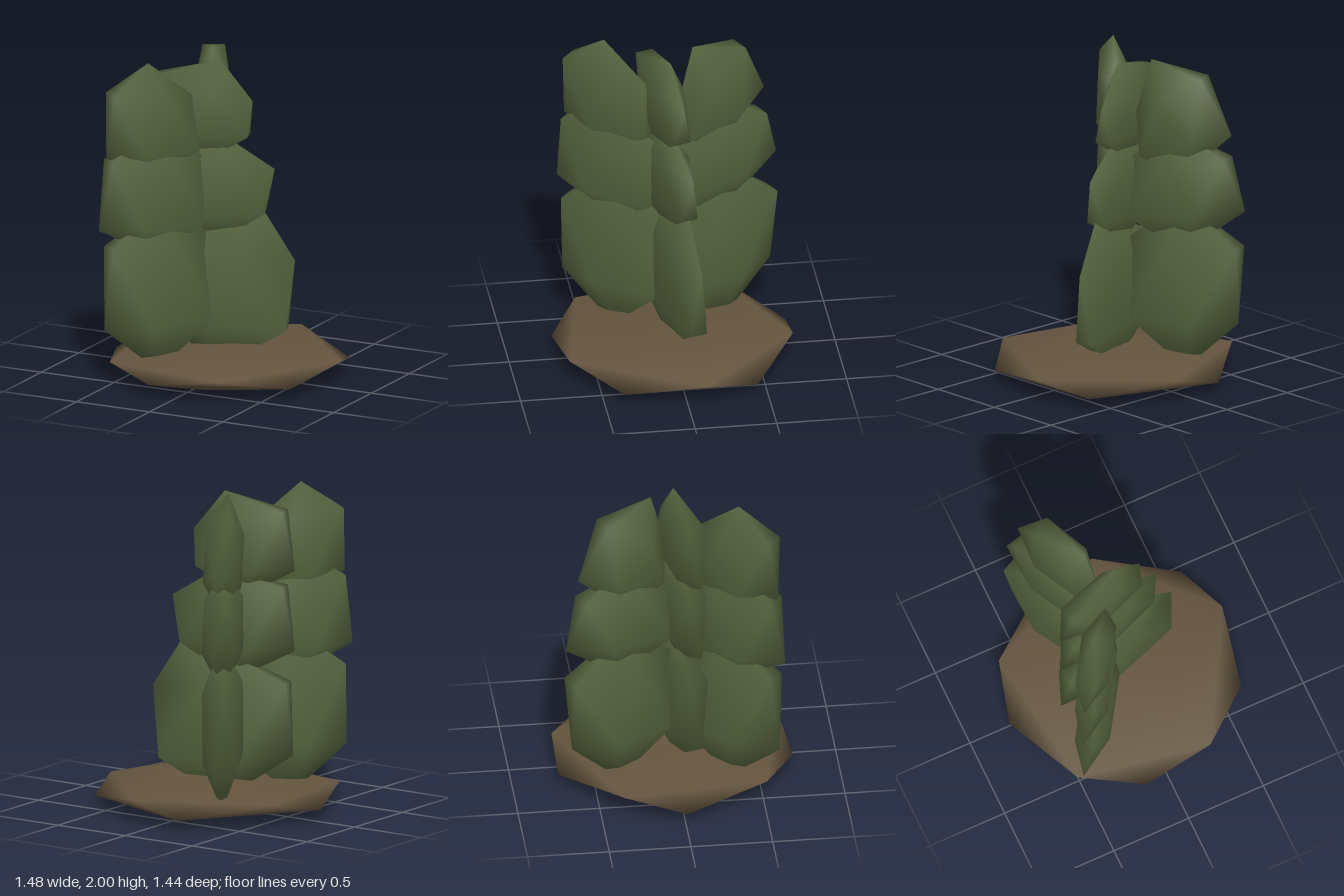
import * as THREE from 'three';

// Smooth twenty-sided solid: top, five upper and five lower corners (anticlockwise from above), bottom
function stone(top, upper, lower, bottom) {
  const idx = [];
  for (let i = 0; i < 5; i++) {
    const j = (i + 1) % 5;
    const [ui, uj, li, lj] = [1 + i, 1 + j, 6 + i, 6 + j];
    idx.push(0, ui, uj, ui, li, uj, uj, li, lj, 11, lj, li);
  }
  const geo = new THREE.BufferGeometry().setFromPoints([top, ...upper, ...lower, bottom]);
  geo.setIndex(idx);
  geo.computeVertexNormals();
  return geo;
}

// Flattened cactus pad. Spec: top u, y; upper ends u, y; lower ends u, y; bottom y
function padGeometry(spec, toPoint, normal, half, startAngle) {
  const [ut, yt, uA, yA, uB, yB, uC, yC, uD, yD, yBottom] = spec;
  // Pentagon stretched between two end points
  const ring = (u0, y0, u1, y1, start) => {
    const angles = [0, 1, 2, 3, 4].map(i => start + i * Math.PI * 0.4);
    const cosines = angles.map(Math.cos);
    const min = Math.min(...cosines), max = Math.max(...cosines);
    return angles.map((a, i) => {
      const k = (cosines[i] - min) / (max - min);
      return toPoint(u0 + k * (u1 - u0), y0 + k * (y1 - y0)).addScaledVector(normal, half * Math.sin(a));
    });
  };
  return stone(
    toPoint(ut, yt),
    ring(uA, yA, uB, yB, startAngle),
    ring(uC, yC, uD, yD, startAngle + Math.PI / 5),
    toPoint((uA + uB + uC + uD) / 4, yBottom)
  );
}

export function createModel() {
  const group = new THREE.Group();
  const V = (x, y, z) => new THREE.Vector3(x, y, z);
  const green = new THREE.MeshStandardMaterial({ color: 0x55633e });
  green.name = 'cactusGreen';
  const brown = new THREE.MeshStandardMaterial({ color: 0x64543e });
  brown.name = 'earthBrown';
  const add = (name, geo, mat, parent) => {
    const mesh = new THREE.Mesh(geo, mat);
    mesh.name = name;
    parent.add(mesh);
  };

  // Flat, uneven mound of soil
  add('soilMound', stone(
    V(0.35, 0.22, 0.2),
    [V(0.15, 0.15, -0.72), V(-0.64, 0.15, -0.36), V(-0.52, 0.13, 0.52), V(0.3, 0.14, 0.67), V(0.74, 0.14, -0.11)],
    [V(-0.19, 0.065, -0.72), V(-0.74, 0.07, 0.01), V(-0.15, 0.08, 0.72), V(0.64, 0.07, 0.38), V(0.62, 0.07, -0.44)],
    V(0.08, 0, 0.4)
  ), brown, group);

  // Three upright fins, each a stack of three pads
  const addFin = (name, half, startAngle, toPoint, normal, pads) => {
    const fin = new THREE.Group();
    fin.name = name;
    group.add(fin);
    normal.normalize();
    ['lowerPad', 'middlePad', 'upperPad'].forEach((level, i) =>
      add(level, padGeometry(pads[i], toPoint, normal, half, startAngle), green, fin));
  };
  addFin('frontFin', 0.105, Math.PI, (z, y) => V(-0.095 - 0.78 * (z - 0.06), y, z), V(1, 0, 0.78), [
    [0.3, 1.12, 0.06, 0.9, 0.58, 0.86, 0.04, 0.36, 0.6, 0.35, 0.06],
    [0.43, 1.53, 0.07, 1.38, 0.58, 1.41, 0.1, 0.95, 0.63, 0.98, 0.8],
    [0.37, 2, 0.14, 1.77, 0.57, 1.83, 0.12, 1.42, 0.59, 1.43, 1.3],
  ]);
  addFin('middleFin', 0.095, 0, (x, y) => V(x, y, 0.13 - 0.3 * (x + 0.45)), V(-0.3, 0, -1), [
    [0.2, 1.08, -0.42, 0.8, 0.41, 0.73, -0.45, 0.35, 0.36, 0.29, 0.05],
    [0, 1.49, -0.4, 1.4, 0.29, 1.3, -0.46, 1, 0.23, 1.02, 0.8],
    [-0.03, 1.97, -0.4, 1.87, 0.16, 1.72, -0.46, 1.5, 0.135, 1.5, 1.32],
  ]);
  addFin('backFin', 0.115, 0, (z, y) => V(-0.12 + 0.48 * (z + 0.05), y, z), V(1, 0, -0.48), [
    [-0.35, 1.12, -0.67, 0.86, -0.02, 0.86, -0.66, 0.38, -0.04, 0.36, 0.06],
    [-0.35, 1.55, -0.6, 1.42, -0.04, 1.38, -0.7, 1.1, -0.03, 1, 0.8],
    [-0.15, 2, -0.46, 1.92, -0.06, 1.66, -0.62, 1.57, -0.1, 1.4, 1.25],
  ]);
  return group;
}
